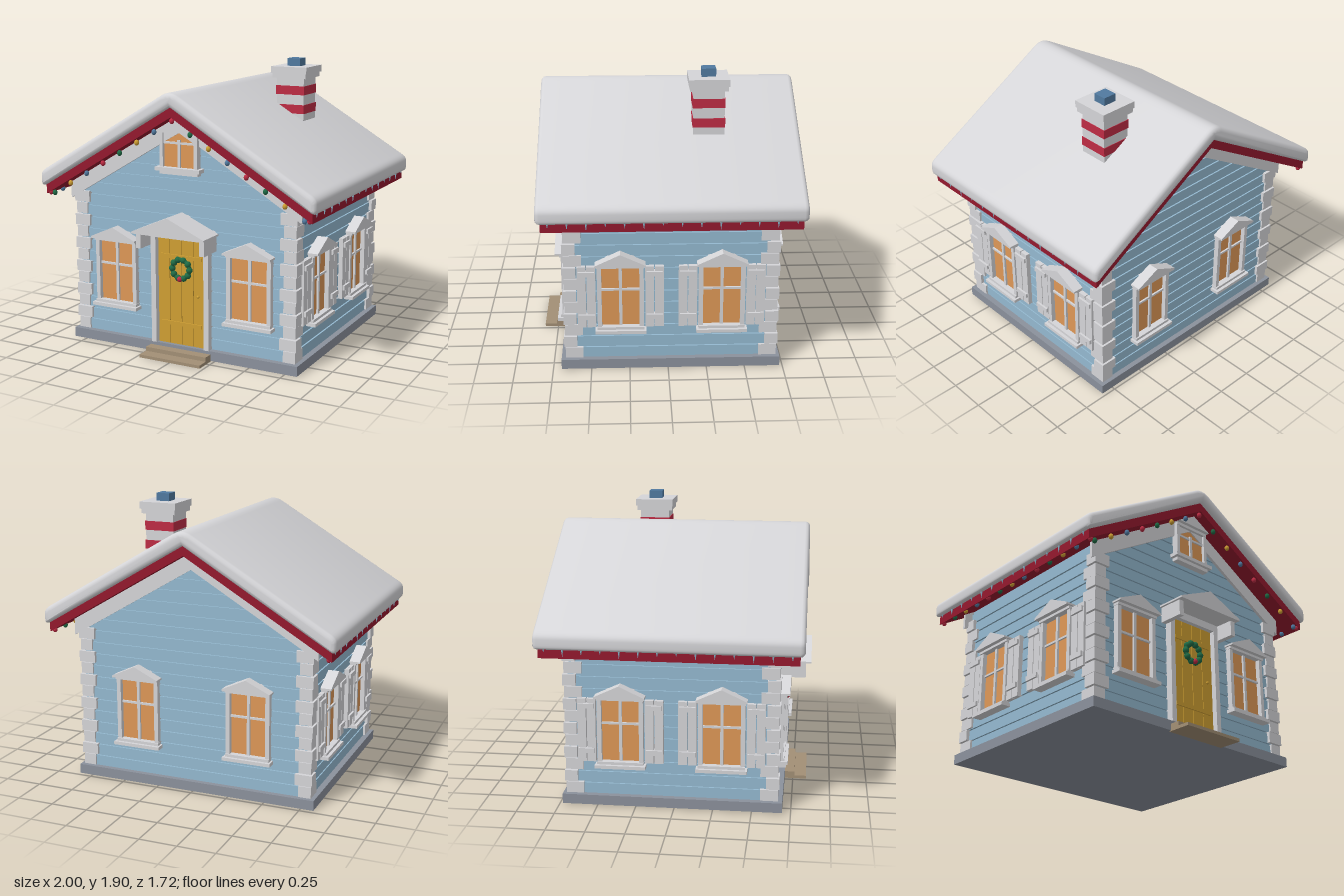
import * as THREE from 'three';
import { toCreasedNormals } from 'three/addons/utils/BufferGeometryUtils.js';

const mat = (name, color) => {
  const m = new THREE.MeshStandardMaterial({ color });
  m.name = name;
  return m;
};

export function createModel() {
  const white = mat('snow white', 0xd5d5d8), blue = mat('siding blue', 0x94b9d0);
  const slate = mat('slate', 0x8b919c), darkRed = mat('roof red', 0x94192e);
  const red = mat('red', 0xbe2c44), amber = mat('window amber', 0xde9857);
  const gold = mat('door yellow', 0xcf9f33), green = mat('wreath green', 0x1f6b45);
  const tan = mat('step tan', 0xa28f75), steel = mat('chimney blue', 0x517aa0);

  const house = new THREE.Group();
  house.name = 'house';
  const D = 0.675, W = 0.8; // half depth and half width of the walls

  const add = (parent, name, geo, m, x = 0, y = 0, z = 0) => {
    const mesh = new THREE.Mesh(geo, m);
    mesh.name = name;
    mesh.position.set(x, y, z);
    parent.add(mesh);
    return mesh;
  };
  // box given by its limits on each axis
  const box = (parent, name, m, x0, x1, y0, y1, z0, z1) =>
    add(parent, name, new THREE.BoxGeometry(x1 - x0, y1 - y0, z1 - z0), m,
      (x0 + x1) / 2, (y0 + y1) / 2, (z0 + z1) / 2);
  // polygon in x and y, extruded from z0 to z1
  const prism = (parent, name, m, pts, z0, z1) => {
    const shape = new THREE.Shape(pts.map(p => new THREE.Vector2(...p)));
    const geo = new THREE.ExtrudeGeometry(shape, { depth: z1 - z0, bevelEnabled: false });
    return add(parent, name, geo, m, 0, 0, z0);
  };
  const group = (parent, name) => {
    const g = new THREE.Group();
    g.name = name;
    parent.add(g);
    return g;
  };

  // foundation and steps
  box(house, 'foundation', slate, -0.84, 0.84, 0.005, 0.07, -0.71, 0.715);
  box(house, 'upperStep', tan, -0.225, 0.225, 0.02, 0.048, 0.7, 0.78);
  box(house, 'lowerStep', tan, -0.225, 0.225, 0, 0.02, 0.7, 0.86);

  // wall core behind the planks
  const c = 0.012, roofY = 1.6, slope = 0.594;
  prism(house, 'wallCore', blue, [[-W + c, 0.07], [W - c, 0.07], [W - c, roofY - slope * W],
    [0, roofY], [-W + c, roofY - slope * W]], -D + c, D - c);

  // siding planks, narrowing in the gables
  const siding = group(house, 'siding');
  const halfAt = y => Math.min(W - 0.01, (roofY - 0.02 - y) / slope);
  for (let y = 0.07; y < 1.52; y += 0.08) {
    const top = y + 0.07, a = halfAt(y), b = halfAt(top);
    const pts = [[-a, y], [a, y], [b, top], [-b, top]];
    prism(siding, 'frontPlank', blue, pts, D - c, D);
    prism(siding, 'backPlank', blue, pts, -D, -D + c);
    if (y < 1.05) for (const s of [-1, 1])
      box(siding, 'sidePlank', blue, s * (W - c / 2) - c / 2, s * (W - c / 2) + c / 2, y, top, -D + c, D - c);
  }

  // corner blocks, long sides alternating between the two walls
  const corners = group(house, 'cornerBlocks');
  for (const sx of [-1, 1]) for (const sz of [-1, 1]) for (let i = 0; i < 12; i++) {
    const odd = i % 2 === 1, w = odd ? 0.115 : 0.085, d = odd ? 0.085 : 0.115;
    const out = odd ? 0.022 : 0.014;
    add(corners, 'cornerBlock', new THREE.BoxGeometry(w, 0.074, d), white,
      sx * (W + out - w / 2), 0.11 + i * 0.081, sz * (D + out - 0.002 - d / 2));
  }

  // snow blanket with soft eaves, ridge and ends
  const s = new THREE.Shape();
  s.moveTo(0, 1.66);
  s.lineTo(0.965, 1.085);
  s.quadraticCurveTo(1.0, 1.068, 1.0, 1.11);
  s.lineTo(1.0, 1.145);
  s.quadraticCurveTo(1.0, 1.178, 0.955, 1.202);
  s.lineTo(0.06, 1.733);
  s.quadraticCurveTo(0, 1.768, -0.06, 1.733);
  s.lineTo(-0.955, 1.202);
  s.quadraticCurveTo(-1.0, 1.178, -1.0, 1.145);
  s.lineTo(-1.0, 1.11);
  s.quadraticCurveTo(-1.0, 1.068, -0.965, 1.085);
  s.closePath();
  const bev = 0.03;
  const snow = new THREE.ExtrudeGeometry(s, { depth: 1.68 - 2 * bev, bevelEnabled: true, bevelSize: bev,
    bevelOffset: -bev, bevelThickness: bev, bevelSegments: 3, curveSegments: 6 });
  add(house, 'snowRoof', toCreasedNormals(snow, 0.7), white, 0, 0, -0.84 + bev);

  // chevron of given top and bottom height at the ridge
  const chevron = (name, m, top, bottom, half, z0, z1) => prism(house, name, m,
    [[0, bottom], [half, bottom - slope * half], [half, top - slope * half], [0, top],
      [-half, top - slope * half], [-half, bottom - slope * half]], z0, z1);
  chevron('redRoof', darkRed, 1.675, 1.597, 0.97, -0.81, 0.81);
  for (const z of [D, -D - 0.02]) chevron('bargeBoard', white, 1.605, 1.488, 0.85, z, z + 0.02);

  // chimney
  const chimney = group(house, 'chimney');
  chimney.position.set(0.38, 0, -0.252);
  const tier = (name, m, h, y0, y1) => box(chimney, name, m, -h, h, y0, y1, -h, h);
  tier('shaft', white, 0.1, 1.25, 1.78);
  tier('lowerBand', red, 0.104, 1.532, 1.592);
  tier('upperBand', red, 0.104, 1.66, 1.72);
  tier('capBase', white, 0.122, 1.772, 1.804);
  tier('capTop', white, 0.13, 1.804, 1.85);
  tier('flue', steel, 0.046, 1.85, 1.902);

  // window facing +z, its origin on the wall below the middle
  const windowAt = (x, z, turn, half, shutters) => {
    const g = group(house, 'window');
    g.position.set(x, 0, z);
    g.rotation.y = turn;
    box(g, 'pane', amber, -half, half, 0.3, 0.725, -0.005, 0.004);
    for (const d of [-1, 1]) {
      const m = d * (half + 0.013);
      box(g, 'frameSide', white, m - 0.014, m + 0.014, 0.3, 0.73, -0.01, 0.035);
    }
    box(g, 'mullion', white, -0.01, 0.01, 0.3, 0.72, 0, 0.018);
    box(g, 'crossbar', white, -half, half, 0.551, 0.565, 0, 0.016);
    box(g, 'sill', white, -half - 0.042, half + 0.042, 0.265, 0.287, -0.01, 0.066);
    box(g, 'sillTrim', white, -half - 0.028, half + 0.028, 0.285, 0.305, -0.01, 0.045);
    box(g, 'lintel', white, -half - 0.03, half + 0.03, 0.718, 0.745, -0.01, 0.045);
    const p = half + 0.04;
    prism(g, 'pediment', white, [[-p, 0.735], [p, 0.735], [p, 0.747], [0, 0.823], [-p, 0.747]], -0.01, 0.073);
    if (!shutters) return;
    for (const d of [-1, 1]) {
      const sh = group(g, 'shutter');
      sh.position.x = d * 0.218;
      for (const k of [-1, 1]) box(sh, 'shutterPlank', white, k * 0.031 - 0.028, k * 0.031 + 0.028, 0.3, 0.722, -0.01, 0.03);
      for (const y of [0.36, 0.66]) box(sh, 'batten', white, -0.052, 0.052, y, y + 0.032, 0, 0.044);
    }
  };
  for (const d of [-1, 1]) {
    windowAt(d * 0.495, D, 0, 0.13, false);
    windowAt(d * 0.39, -D, Math.PI, 0.122, false);
    for (const z of [-0.325, 0.325]) windowAt(d * W, z, d * Math.PI / 2, 0.122, true);
  }

  // gable window
  const attic = group(house, 'gableWindow');
  attic.position.z = D;
  box(attic, 'pane', amber, -0.115, 0.115, 1.26, 1.48, 0.018, 0.024);
  for (const d of [-1, 1]) box(attic, 'frameSide', white, d * 0.125 - 0.012, d * 0.125 + 0.012, 1.25, 1.5, -0.01, 0.045);
  box(attic, 'mullion', white, -0.01, 0.01, 1.26, 1.44, 0.02, 0.036);
  box(attic, 'crossbar', white, -0.115, 0.115, 1.412, 1.426, 0.02, 0.034);
  prism(attic, 'topLight', white, [[-0.115, 1.42], [0, 1.485], [0.115, 1.42], [0.115, 1.49], [-0.115, 1.49]], 0.02, 0.032);
  box(attic, 'sill', white, -0.162, 0.162, 1.238, 1.262, -0.01, 0.066);
  box(attic, 'sillTrim', white, -0.14, 0.14, 1.215, 1.24, -0.01, 0.045);
  box(attic, 'lintel', white, -0.135, 0.135, 1.485, 1.51, -0.01, 0.05);
  prism(attic, 'pediment', white, [[-0.14, 1.505], [0.14, 1.505], [0, 1.585]], -0.01, 0.073);

  // door with battens, frame and canopy
  const door = group(house, 'door');
  door.position.z = D;
  box(door, 'doorBack', gold, -0.18, 0.18, 0.07, 0.79, -0.005, 0.006);
  for (let i = 0; i < 4; i++) {
    const x = -0.132 + i * 0.088;
    box(door, 'doorPlank', gold, x - 0.042, x + 0.042, 0.07, 0.79, 0, 0.014);
  }
  for (const y of [0.2, 0.655]) box(door, 'doorBatten', gold, -0.15, 0.15, y, y + 0.026, 0.01, 0.022);
  add(door, 'knob', new THREE.SphereGeometry(0.01, 10, 8), gold, 0.126, 0.418, 0.022);
  for (const d of [-1, 1]) {
    box(door, 'doorFrame', white, d * 0.196 - 0.018, d * 0.196 + 0.018, 0.07, 0.82, -0.01, 0.045);
    box(door, 'canopyBracket', white, d * 0.233 - 0.018, d * 0.233 + 0.018, 0.735, 0.842, -0.01, 0.165);
  }
  box(door, 'doorHeader', white, -0.214, 0.214, 0.79, 0.842, -0.01, 0.045);
  prism(door, 'canopy', white, [[-0.265, 0.838], [0.265, 0.838], [0.265, 0.85], [0, 0.965], [-0.265, 0.85]], -0.01, 0.2);

  // wreath
  const wreath = group(door, 'wreath');
  wreath.position.set(0, 0.59, 0.024);
  add(wreath, 'wreathRing', new THREE.TorusGeometry(0.064, 0.014, 8, 24), green);
  for (let i = 0; i < 10; i++) {
    const a = Math.PI / 2 + (i + 0.5) / 10 * Math.PI * 2;
    add(wreath, 'wreathLeaf', new THREE.IcosahedronGeometry(0.022, 1), green, 0.064 * Math.cos(a), 0.064 * Math.sin(a), 0);
  }
  add(wreath, 'wreathBerry', new THREE.SphereGeometry(0.018, 10, 8), red, 0, -0.064, 0.016);

  // string lights along the front gable and both eaves
  const lights = group(house, 'stringLights');
  const bulb = new THREE.SphereGeometry(0.016, 10, 8);
  bulb.scale(1, 1.2, 1);
  const hues = [green, gold, steel, red];
  for (let i = 0; i < 15; i++) {
    const x = (i - 7) * 0.1305;
    add(lights, 'bulb', bulb, hues[i % 4], x, 1.572 - slope * Math.abs(x), 0.795);
  }
  for (const d of [-1, 1]) for (let i = 0; i < 13; i++)
    add(lights, 'bulb', bulb, hues[(i + 3) % 4], d * 0.945, 1.032, -0.79 + i * 0.132);

  // icicles under the snow edge
  const icicles = group(house, 'icicles');
  for (const d of [-1, 1]) for (let i = 0; i < 14; i++) {
    const len = 0.025 + 0.03 * ((i * 5) % 7) / 6;
    const cone = new THREE.ConeGeometry(0.008, len, 8);
    cone.rotateX(Math.PI);
    add(icicles, 'icicle', cone, blue, d * 0.978, 1.085 - len / 2, -0.77 + i * 0.118);
  }

  house.position.z = -0.02;
  const model = new THREE.Group();
  model.name = 'winterCottage';
  model.add(house);
  return model;
}
